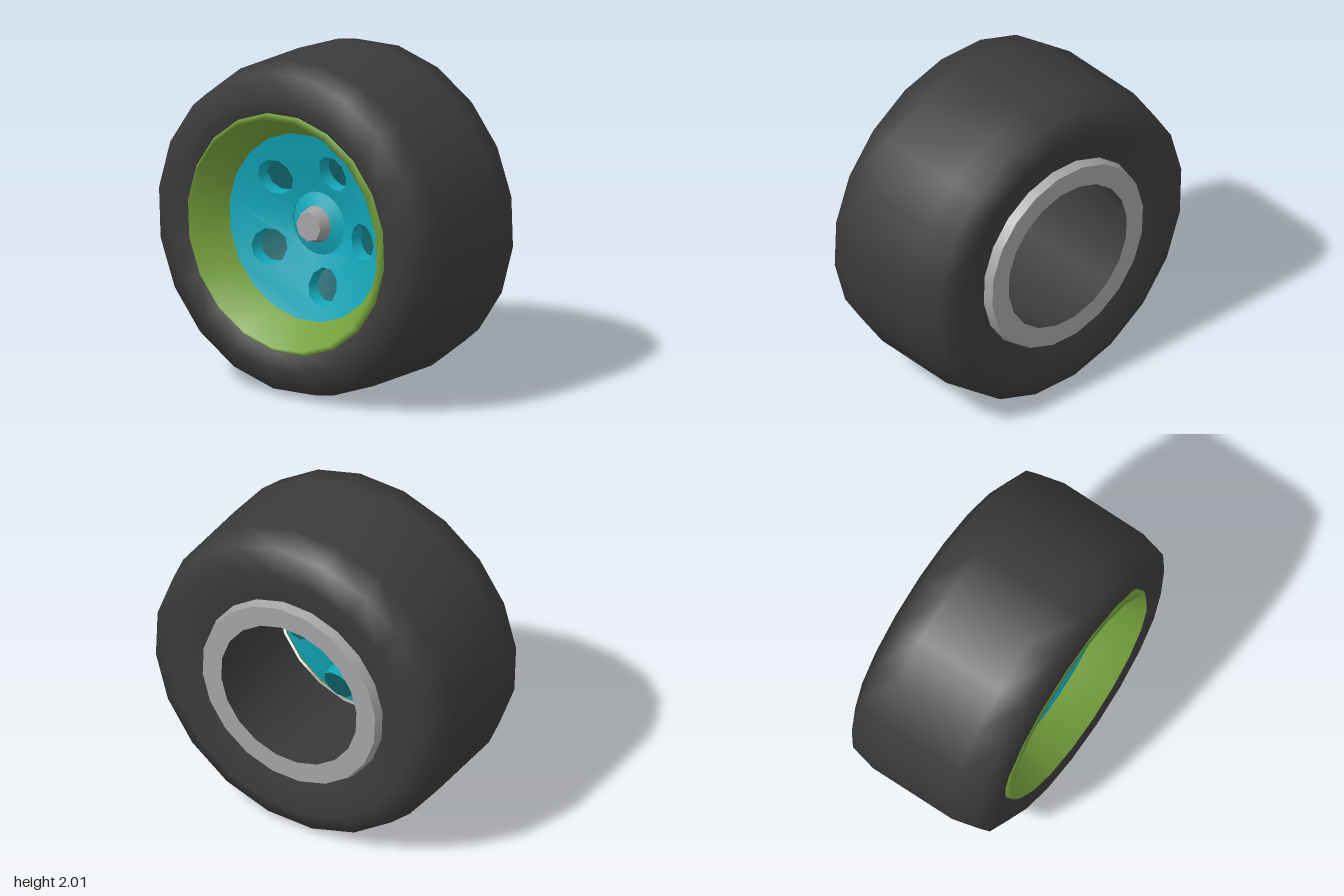
import * as THREE from 'three';

const SIDES = 20, TURN = THREE.MathUtils.degToRad(11.2);
const DISH_SLOPE = 0.33;
const HOLE_SIDES = 10, HOLE_RADIUS = 0.11;

function material(name, color, side = THREE.FrontSide) {
  const m = new THREE.MeshStandardMaterial({ color, side });
  m.name = name;
  return m;
}

// Turned part around the z axis from [radius, z] points
function turned(points, sides = SIDES) {
  const profile = points.map(([r, z]) => new THREE.Vector2(r, z));
  return new THREE.LatheGeometry(profile, sides, TURN).rotateX(Math.PI / 2);
}

// Pushes a flat part onto the shallow cone of the dish
function bend(geo, newNormals) {
  const p = geo.attributes.position, n = geo.attributes.normal;
  const v = new THREE.Vector3();
  for (let i = 0; i < p.count; i++) {
    const x = p.getX(i), y = p.getY(i), r = Math.hypot(x, y);
    p.setZ(i, p.getZ(i) + 0.1 + DISH_SLOPE * r);
    if (newNormals) {
      v.set(-DISH_SLOPE * x / r, -DISH_SLOPE * y / r, 1).normalize();
      n.setXYZ(i, v.x, v.y, v.z);
    }
  }
  return geo;
}

function ringPoints(cx, cy, r, sides, start = 0) {
  return Array.from({ length: sides }, (_, i) => {
    const a = start + i * 2 * Math.PI / sides;
    return new THREE.Vector2(cx + r * Math.cos(a), cy + r * Math.sin(a));
  });
}

export function createModel() {
  const rubber = material('darkRubber', 0x3b3b3b);
  const green = material('greenRim', 0x74a03c, THREE.DoubleSide);
  const teal = material('tealDisc', 0x12a8bb, THREE.DoubleSide);
  const darkTeal = material('darkTealHole', 0x11666c, THREE.DoubleSide);
  const grey = material('greyMetal', 0xa3a2a4, THREE.DoubleSide);

  const wheel = new THREE.Group();
  wheel.name = 'wheel';
  const add = (name, geo, mat) => {
    const mesh = new THREE.Mesh(geo, mat);
    mesh.name = name;
    wheel.add(mesh);
  };

  // Tyre and its inner wall
  add('tyre', turned([
    [0.57, -0.45], [0.83, -0.52], [0.97, -0.45], [1.01, -0.28],
    [1.01, 0.28], [0.97, 0.45], [0.83, 0.52], [0.72, 0.47],
  ]), rubber);
  add('tyreInnerWall', turned([[0.58, 0.27], [0.47, -0.52]]), rubber);

  // Rim with a bevelled lip
  add('rim', turned([[0.73, 0.46], [0.73, 0.48], [0.7, 0.51], [0.57, 0.29], [0.56, 0.27]]), green);

  // Collar at the back
  add('backCollarFace', turned([[0.47, -0.52], [0.6, -0.52]]), grey);
  add('backCollarEdge', turned([[0.6, -0.52], [0.62, -0.45]]), grey);

  // Dish with five recessed holes
  const disc = new THREE.Shape(ringPoints(0, 0, 0.57, SIDES, TURN));
  disc.holes.push(new THREE.Path(ringPoints(0, 0, 0.19, SIDES, TURN)));
  for (let i = 0; i < 5; i++) {
    const a = THREE.MathUtils.degToRad(66 + 72 * i);
    const x = 0.37 * Math.cos(a), y = 0.37 * Math.sin(a);
    disc.holes.push(new THREE.Path(ringPoints(x, y, HOLE_RADIUS, HOLE_SIDES)));
    const wall = new THREE.CylinderGeometry(HOLE_RADIUS, 0.1, 0.08, HOLE_SIDES, 1, true, Math.PI / 2)
      .rotateX(Math.PI / 2).translate(x, y, -0.04);
    add('holeWall' + (i + 1), bend(wall, false), teal);
    const floor = new THREE.CircleGeometry(0.1, HOLE_SIDES).translate(x, y, -0.08);
    add('holeFloor' + (i + 1), bend(floor, true), darkTeal);
  }
  add('dish', bend(new THREE.ShapeGeometry(disc), true), teal);

  // Raised boss and hub nut
  add('hubBoss', turned([[0.19, 0.16], [0.11, 0.19]]), teal);
  const nut = new THREE.CylinderGeometry(0.09, 0.12, 0.13, 8)
    .rotateY(-0.07).rotateX(Math.PI / 2).translate(0, 0, 0.2);
  add('hubNut', nut, grey);

  wheel.position.y = 1;
  const model = new THREE.Group();
  model.name = 'wheelModel';
  model.add(wheel);
  return model;
}
